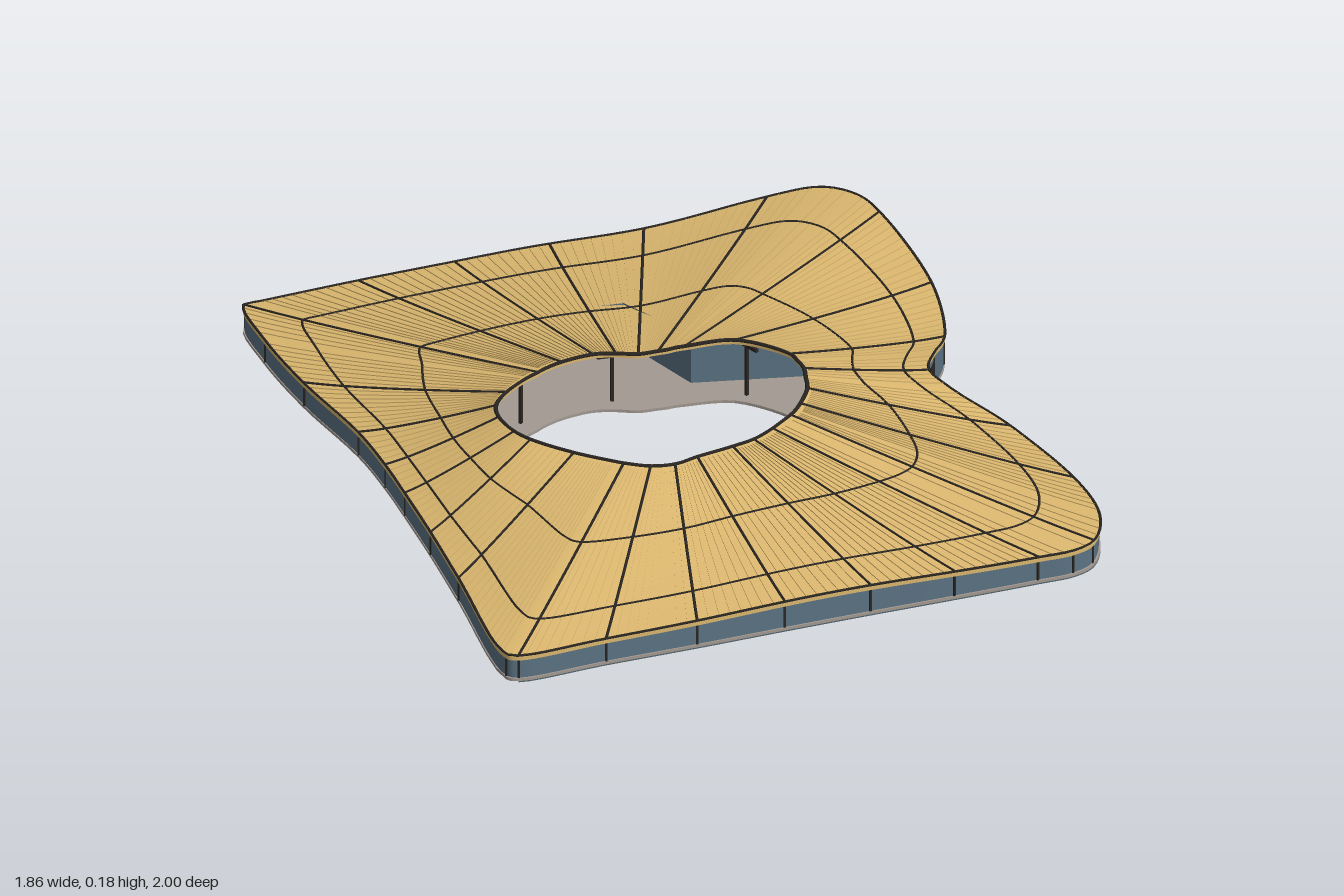
import * as THREE from 'three';
import { mergeGeometries } from 'three/addons/utils/BufferGeometryUtils.js';

const mat = (name, color) => {
  const m = new THREE.MeshStandardMaterial({ color, side: THREE.DoubleSide });
  m.name = name;
  return m;
};

// eave outline and courtyard outline as matching points (x, z), clockwise from above
const EAVE = [
  [-0.4, -1], [-0.37, -0.99], [-0.14, -0.915], [0.075, -0.84], [0.29, -0.77], [0.5, -0.695], [0.78, -0.605],
  [0.89, -0.55], [0.925, -0.47], [0.915, -0.38], [0.82, -0.09], [0.68, 0.12], [0.6, 0.18], [0.525, 0.25],
  [0.515, 0.34], [0.545, 0.505], [0.52, 0.75], [0.46, 0.91], [0.38, 0.985], [0.32, 0.99], [0.24, 0.963],
  [0.055, 0.895], [-0.13, 0.825], [-0.32, 0.755], [-0.515, 0.685], [-0.715, 0.61], [-0.91, 0.54], [-0.925, 0.515],
  [-0.795, 0.2], [-0.715, 0.01], [-0.65, -0.155], [-0.605, -0.275], [-0.56, -0.42], [-0.515, -0.66], [-0.46, -0.86],
];
const COURT = [
  [-0.185, -0.247], [-0.17, -0.25], [-0.115, -0.25], [-0.04, -0.23], [0, -0.2], [0.035, -0.165], [0.075, -0.145],
  [0.095, -0.135], [0.11, -0.13], [0.13, -0.12], [0.225, -0.06], [0.275, 0.07], [0.27, 0.1], [0.26, 0.135],
  [0.24, 0.165], [0.215, 0.2], [0.165, 0.235], [0.14, 0.248], [0.12, 0.255], [0.09, 0.262], [0.055, 0.27],
  [-0.005, 0.277], [-0.06, 0.27], [-0.15, 0.255], [-0.21, 0.25], [-0.26, 0.225], [-0.3, 0.18], [-0.31, 0.165],
  [-0.36, 0.08], [-0.4, -0.02], [-0.405, -0.07], [-0.39, -0.14], [-0.36, -0.185], [-0.3, -0.22], [-0.22, -0.243],
];
// rises and dips of the eave: x, z, height, spread
const WAVES = [[0.53, 0.28, 0.047, 0.035], [0.92, -0.42, 0.014, 0.04], [0.5, -0.7, -0.014, 0.06], [-0.2, 0.8, 0.01, 0.1]];
const N = EAVE.length;
const NO_RIB = new Set([1, 7, 8, 12, 14, 17, 19, 27, 34]);
const ENTRY = [12, 15]; // stretch of the eave over the entrance
const LINTEL = 0.075;
const FLOOR = 0.01;

const loop = (pts) => new THREE.CatmullRomCurve3(pts.map(([x, z]) => new THREE.Vector3(x, 0, z)), true);
const eaveCurve = loop(EAVE), courtCurve = loop(COURT);
const onLoop = (curve, u) => curve.getPoint((((u % N) + N) % N) / N);

// u runs round the loop, s from the courtyard (0) to the eave (1)
function roofPoint(u, s, lift = 0) {
  const o = onLoop(eaveCurve, u), c = onLoop(courtCurve, u);
  let eaveY = 0.068;
  for (const [x, z, h, w] of WAVES) eaveY += h * Math.exp(-((o.x - x) ** 2 + (o.z - z) ** 2) / w);
  const courtY = 0.153 + 0.017 * ((c.x + 0.06) / 0.34) ** 2;
  const p = c.lerp(o, s);
  p.y = eaveY + (courtY - eaveY) * (1 - s) ** 1.18 + lift;
  return p;
}

// smooth grid surface from a rule fn(u, v)
function surface(fn, u0, u1, nu, nv) {
  const pos = [], idx = [];
  for (let i = 0; i <= nu; i++)
    for (let j = 0; j <= nv; j++) pos.push(...fn(u0 + ((u1 - u0) * i) / nu, j / nv).toArray());
  for (let i = 0; i < nu; i++)
    for (let j = 0; j < nv; j++) {
      const a = i * (nv + 1) + j, b = a + nv + 1;
      idx.push(a, b, a + 1, b, b + 1, a + 1);
    }
  const g = new THREE.BufferGeometry();
  g.setAttribute('position', new THREE.Float32BufferAttribute(pos, 3));
  g.setIndex(idx);
  g.computeVertexNormals();
  return g;
}

// flat slab from (x, z) points
function slab(pts, depth, hole) {
  const flat = (list) => list.map(([x, z]) => new THREE.Vector2(x, -z));
  const shape = new THREE.Shape(flat(pts));
  if (hole) shape.holes.push(new THREE.Path(flat(hole)));
  return new THREE.ExtrudeGeometry(shape, { depth, bevelEnabled: false }).rotateX(-Math.PI / 2);
}

function sampleLoop(curve, u0, u1) {
  const out = [];
  for (let u = u0; u <= u1 + 1e-6; u += 0.2) {
    const p = onLoop(curve, u);
    out.push([p.x, p.z]);
  }
  return out;
}

export function createModel() {
  const group = new THREE.Group();
  const gold = mat('roof gold', 0xdcb86f);
  const glass = mat('facade blue', 0x5c7384);
  const stone = mat('floor grey', 0xa39a92);
  const slate = mat('room floor slate', 0x52656f);
  const dark = mat('dark metal', 0x2b2723);
  const add = (name, geo, material, parent = group) => {
    const m = new THREE.Mesh(geo, material);
    m.name = name;
    parent.add(m);
    return m;
  };
  const section = (name) => {
    const g = new THREE.Group();
    g.name = name;
    group.add(g);
    return g;
  };

  // roof shell and its thin edge
  add('roof', surface((u, v) => roofPoint(u, v), 0, N, N * 8, 14), gold);
  add('roofEdge', surface((u, v) => roofPoint(u, 1, -0.012 * v), 0, N, N * 8, 1), gold);
  add('courtyardRoofEdge', surface((u, v) => roofPoint(u, 0, -0.01 * v), 0, N, N * 6, 1), gold);

  // fine standing seams of the roof sheet
  const fins = [];
  for (let i = 0; i < N; i++) {
    const count = Math.max(1, Math.round(onLoop(eaveCurve, i).distanceTo(onLoop(eaveCurve, i + 1)) / 0.025));
    for (let k = 1; k < count; k++)
      fins.push(surface((s, v) => roofPoint(i + k / count, s, 0.0035 * v - 0.001), 0.02, 1, 14, 1));
  }
  add('standingSeams', mergeGeometries(fins), gold);

  // seams: radial ribs and rings
  const seams = section('roofSeams');
  for (let i = 0; i < N; i++) {
    if (NO_RIB.has(i)) continue;
    const pts = Array.from({ length: 9 }, (_, j) => roofPoint(i, j / 8, 0.001));
    add('radialSeam', new THREE.TubeGeometry(new THREE.CatmullRomCurve3(pts), 16, 0.0033, 4), dark, seams);
  }
  for (const [name, s, r] of [['courtyardRim', 0, 0.005], ['innerRing', 0.4, 0.0028], ['outerRing', 0.8, 0.0028], ['eaveLine', 1, 0.0033]]) {
    const pts = Array.from({ length: N * 4 }, (_, j) => roofPoint(j / 4, s, 0.001));
    add(name, new THREE.TubeGeometry(new THREE.CatmullRomCurve3(pts, true), N * 8, r, 4, true), dark, seams);
  }

  // outer wall, open below a lintel at the entrance
  const wallPoint = (bottom) => (u, v) => {
    const p = roofPoint(u, 0.994);
    p.y = THREE.MathUtils.lerp(p.y - 0.006, bottom, v);
    return p;
  };
  add('outerWall', surface(wallPoint(FLOOR), ENTRY[1], ENTRY[0] + N, N * 8, 1), glass);
  add('entranceLintel', surface(wallPoint(LINTEL), ...ENTRY, 24, 1), glass);

  // mullions on the wall and posts in the entrance
  const posts = section('mullions');
  const post = (name, u, s, w, top) => {
    const p = roofPoint(u, s);
    const h = (top ?? p.y - 0.012) - FLOOR;
    const m = add(name, new THREE.BoxGeometry(w, h, w), dark, posts);
    m.position.set(p.x, FLOOR + h / 2, p.z);
    const d = onLoop(eaveCurve, u).sub(onLoop(courtCurve, u));
    m.rotation.y = Math.atan2(d.x, d.z);
    return m;
  };
  for (let i = 0; i < N; i++) if (i <= ENTRY[0] || i >= ENTRY[1]) post('mullion', i, 0.994, 0.005);
  for (const u of [12, 12.7, 13.2, 13.5, 13.9, 14.4, 15]) post('entrancePost', u, 0.985, 0.005, LINTEL);
  const headPts = Array.from({ length: 13 }, (_, j) => {
    const p = roofPoint(12 + j / 4, 0.99);
    p.y = LINTEL;
    return p;
  });
  add('entranceHead', new THREE.TubeGeometry(new THREE.CatmullRomCurve3(headPts), 24, 0.003, 4), dark, posts);

  // posts with cross heads round the open courtyard
  for (const i of [0, 4, 10, 13, 16, 21, 24, 28, 31]) {
    const m = post('courtyardPost', i, 0.06, 0.007);
    const bar = add('postHead', new THREE.BoxGeometry(0.07, 0.008, 0.008), dark, m);
    bar.position.y = m.geometry.parameters.height / 2 - 0.008;
  }

  // hall floor with the courtyard cut out
  const inner = sampleLoop(courtCurve, 0, N - 0.2);
  add('hallFloor', slab(sampleLoop(eaveCurve, 0, N - 0.2), FLOOR - 0.003, inner), stone).position.y = 0.003;

  // closed rooms at back and front: floor plate and inner wall, wall points as (x, z, top)
  const rooms = [
    ['backRoom', 1, 11, [[0.67, 0.11, 0.08], [0.47, 0, 0.105], [0.2, -0.18, 0.135], [0.2, -0.41, 0.11], [-0.38, -0.78, 0.07], [-0.37, -0.98, 0.06]]],
    ['frontRoom', 15.2, 26, [[-0.9, 0.535, 0.06], [-0.47, 0.6, 0.075], [0.25, 0.45, 0.115], [0.54, 0.53, 0.07]]],
  ];
  for (const [name, u0, u1, wall] of rooms) {
    const outline = sampleLoop(eaveCurve, u0, u1).concat(wall.slice(1, -1).map(([x, z]) => [x, z]));
    add(name + 'Floor', slab(outline, 0.003), slate);
    for (let i = 0; i + 1 < wall.length; i++) {
      const [a, b] = [wall[i], wall[i + 1]];
      const mix = (k, t) => THREE.MathUtils.lerp(a[k], b[k], t);
      const panel = (t, v) => new THREE.Vector3(mix(0, t), THREE.MathUtils.lerp(mix(2, t), FLOOR, v), mix(1, t));
      add(name + 'Wall', surface(panel, 0, 1, 1, 1), glass);
    }
  }
  return group;
}
